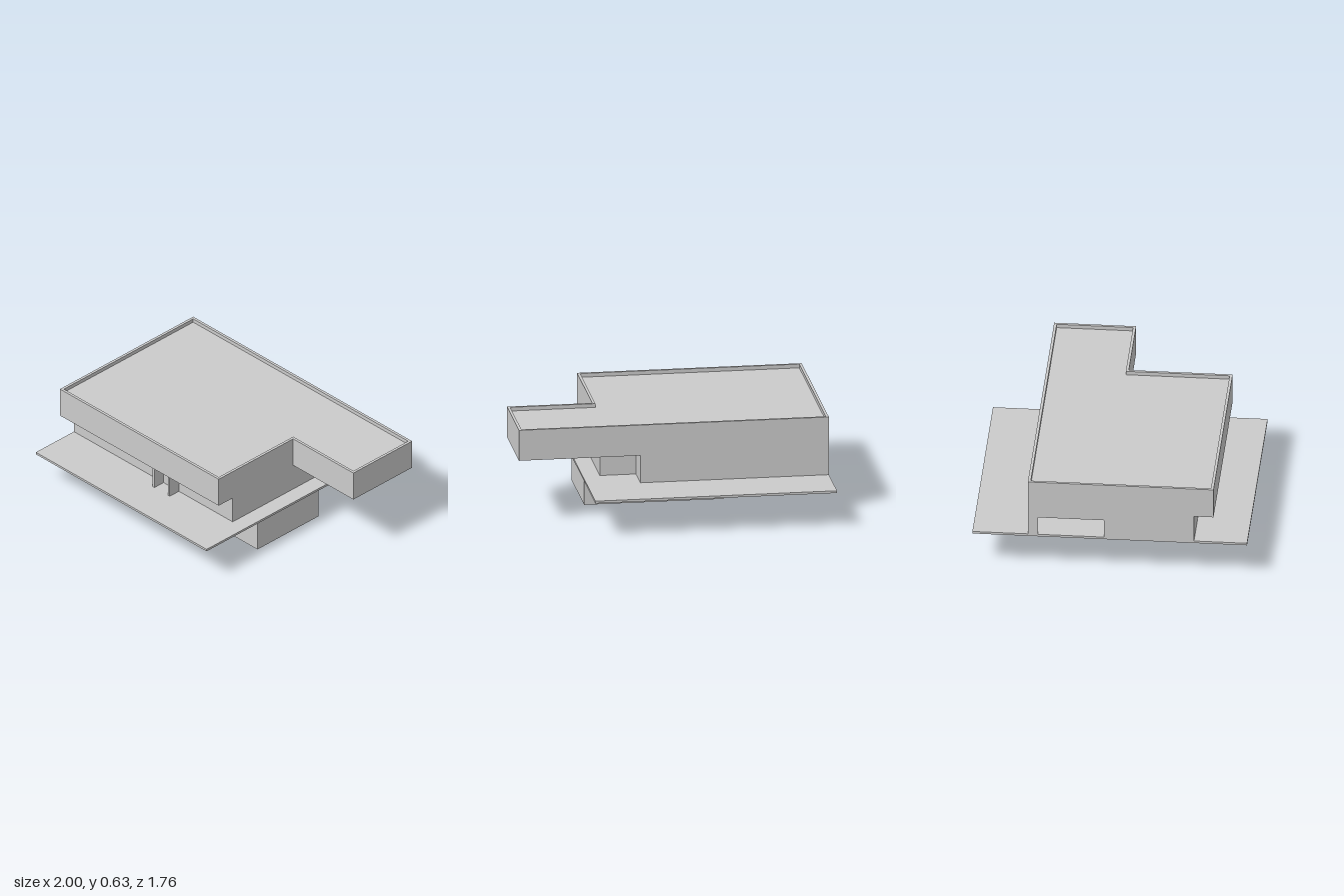
import * as THREE from 'three';

const material = new THREE.MeshStandardMaterial({ color: 0xcccccc, flatShading: true });

// Box given by its minimum and maximum corners
function block(name, [x0, y0, z0], [x1, y1, z1]) {
  const geometry = new THREE.BoxGeometry(x1 - x0, y1 - y0, z1 - z0);
  geometry.translate((x0 + x1) / 2, (y0 + y1) / 2, (z0 + z1) / 2);
  const mesh = new THREE.Mesh(geometry, material);
  mesh.name = name;
  return mesh;
}

// Prism over a plan outline of [x, z] points, with an optional hole
function prism(name, outline, y0, y1, hole) {
  const points = (list) => list.map(([x, z]) => new THREE.Vector2(x, z));
  const shape = new THREE.Shape(points(outline));
  if (hole) shape.holes.push(new THREE.Path(points(hole)));
  const geometry = new THREE.ExtrudeGeometry(shape, { depth: y1 - y0, bevelEnabled: false });
  geometry.rotateX(Math.PI / 2); // plan y becomes z, depth runs downwards
  geometry.translate(0, y1, 0);
  const mesh = new THREE.Mesh(geometry, material);
  mesh.name = name;
  return mesh;
}

// L-shaped plan of the upper storey, shrunk by an inset
const upperPlan = (t) => [
  [-1 + t, -0.525 + t], [1 - t, -0.525 + t], [1 - t, -t],
  [0.45 - t, -t], [0.45 - t, 0.665 - t], [-1 + t, 0.665 - t],
];

export function createModel() {
  const model = new THREE.Group();
  model.name = 'house';
  const floor = 0.245, ceiling = 0.427, roof = 0.605, top = 0.63, t = 0.018;

  // Basement and the broad ground slab above it
  model.add(block('basement', [-0.373, 0, -0.155], [0.525, 0.23, 0.392]));
  model.add(block('groundSlab', [-1, 0.23, -0.88], [0.56, floor, 0.88]));

  // Hollow ground storey, notched at the back under the wing
  const ground = new THREE.Group();
  ground.name = 'groundStorey';
  const wall = (name, x0, z0, x1, z1, y0 = floor, y1 = ceiling) =>
    ground.add(block(name, [x0, y0, z0], [x1, y1, z1]));
  wall('frontWall', -1, 0.54 - t, 0.45, 0.54);
  wall('rightWall', 0.45 - t, -0.33, 0.45, 0.54 - t);
  wall('notchBackWall', 0.217, -0.33, 0.45 - t, -0.33 + t);
  wall('notchSideWall', 0.217 - t, -0.525 + t, 0.217, -0.33 + t);
  wall('backWall', -1, -0.525, 0.217, -0.525 + t);
  // Left wall with the garage opening
  wall('garagePier', -1, -0.525 + t, -1 + t, -0.46);
  wall('garageLintel', -1, -0.46, -1 + t, -0.035, 0.37);
  wall('leftWall', -1, -0.035, -1 + t, 0.54 - t);
  model.add(ground);

  // Entrance portal in front of the wall
  const portal = new THREE.Group();
  portal.name = 'entrancePortal';
  for (const x of [-0.199, -0.059]) {
    portal.add(block('portalFin', [x, floor, 0.54], [x + t, ceiling, 0.622]));
  }
  portal.add(block('portalLintel', [-0.181, 0.39, 0.54], [-0.059, ceiling, 0.622]));
  model.add(portal);

  // Cantilevered upper storey with a parapet round the sunken roof
  model.add(prism('upperStorey', upperPlan(0), ceiling, roof));
  model.add(prism('parapet', upperPlan(0), roof, top, upperPlan(t)));

  return model;
}
